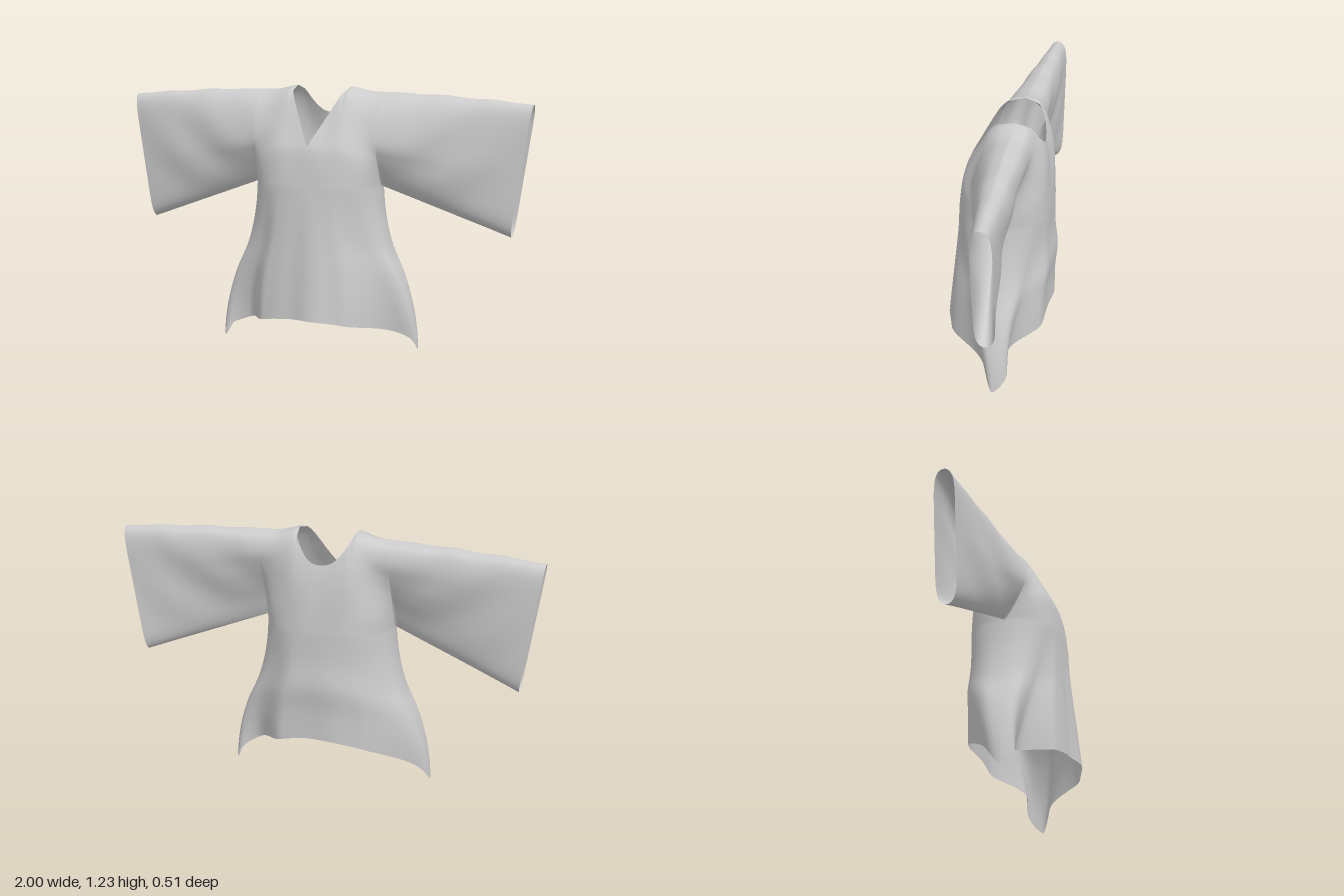
import * as THREE from 'three';
import { mergeVertices } from 'three/addons/utils/BufferGeometryUtils.js';

const { lerp, smoothstep } = THREE.MathUtils;
const ARM_X = 0.305, ARM_Y = 0.78, NECK_U = 0.45;
const spline = pts => new THREE.SplineCurve(pts.map(p => new THREE.Vector2(...p)));
const bump = (x, centre, width) => Math.exp(-(((x - centre) / width) ** 2));

// Torso profiles from chest to shoulder ridge: (height fraction, z)
const chest = spline([[0, 0.19], [0.19, 0.18], [0.36, 0.166], [0.48, 0.142], [0.63, 0.104], [0.79, 0.064], [0.91, 0.027], [0.98, -0.02], [1, -0.08]]);
const back = spline([[0, -0.238], [0.2, -0.233], [0.37, -0.227], [0.55, -0.216], [0.72, -0.197], [0.88, -0.168], [0.975, -0.135], [1, -0.08]]);
// Armhole profiles from underarm to shoulder: (height fraction, z)
const armFront = spline([[0, -0.02], [0.08, 0.005], [0.2, 0.036], [0.32, 0.062], [0.45, 0.08], [0.62, 0.07], [0.8, 0.038], [0.94, -0.015], [1, -0.08]]);
const armBack = spline([[0, -0.02], [0.1, -0.04], [0.26, -0.068], [0.43, -0.105], [0.6, -0.14], [0.78, -0.163], [0.94, -0.142], [1, -0.08]]);
// Side seam flare: (drop fraction, half width)
const flare = spline([[0, ARM_X], [0.23, 0.32], [0.46, 0.358], [0.69, 0.425], [0.88, 0.468], [1, 0.485]]);

// Point on a sleeve: m runs armhole to cuff, a runs underarm to shoulder
function sleevePoint(m, a, face) {
  const s = -Math.cos(Math.PI * a);
  const arm = (face > 0 ? armFront : armBack).getPoint(a);
  const cuffZ = -0.0975 + face * 0.0475 * Math.sqrt(Math.max(0, 1 - Math.abs(s) ** 8));
  const h = lerp(arm.x, (s + 1) / 2, m);
  const bottom = lerp(ARM_Y, 0.557, m);
  const top = 1.212 - 0.014 * m - 0.028 * m * m + 0.003 * Math.sin(m * 19) * Math.sin(Math.PI * m);
  const fold = 0.006 * Math.sin(Math.PI * m) * (1 - s * s) * Math.sin(11 * m - 4 * s + (face > 0 ? 0 : 1.5));
  return [
    ARM_X + m * (1 - ARM_X - 0.09 * (1 - h)),
    lerp(bottom, top, h),
    lerp(arm.y, cuffZ, m) + fold,
  ];
}

// Point on the upper torso, melting into the armhole as |u| nears 1
function bodicePoint(u, a, face) {
  const r = Math.abs(u);
  const k = lerp(1 - Math.sqrt(Math.max(0, 1 - r ** 3)), smoothstep(r, 0.38, 1), smoothstep(a, 0.1, 0.85));
  const p = (face > 0 ? chest : back).getPoint(a);
  const q = sleevePoint(0, a, face);
  const top = lerp(1.235, 1.212, smoothstep(r, NECK_U, 1));
  const fold = 0.005 * Math.sin(Math.PI * a) ** 2 * Math.sin(u * 9 + a * 5) * (1 - r);
  return [u * ARM_X, lerp(lerp(ARM_Y, top, p.x), q[1], k), lerp(p.y, q[2], k) + fold];
}

// How far up the torso the cloth reaches before the V (front) or round (back) neckline
function neckLimit(u, face) {
  const r = Math.abs(u) / NECK_U;
  if (r > 0.999) return 1;
  const goal = face > 0 ? lerp(0.41, 1, r) : lerp(0.7, 1, r ** 2.3);
  const curve = face > 0 ? chest : back;
  let lo = 0, hi = 1;
  for (let i = 0; i < 24; i++) {
    const mid = (lo + hi) / 2;
    if (curve.getPoint(mid).x < goal) lo = mid; else hi = mid;
  }
  return lo;
}

// Point on the lower body: v runs from the chest line to the hem
function skirtPoint(u, v, face) {
  const r = Math.abs(u), w = Math.max(0, 1 - r * r);
  const seam = lerp(-0.01, u > 0 ? -0.04 : 0.018, smoothstep(r, 0, 1));
  const tail = 0.7 * r ** 12 * w * v ** 3;
  let hem, hemZ, fold;
  if (face > 0) {
    // Full front, stepping back to a thin flap on the right and easing off on the left
    const step = u < 0 ? 0.82 * smoothstep(r, 0.44, 0.7) : 0.65 * smoothstep(r, 0.4, 0.85);
    hem = 0.165 - 0.11 * r * r - 0.053 * r ** 30;
    hemZ = lerp(seam, 0.225, Math.sqrt(w) * (1 - step));
    fold = v * w * (0.03 * bump(u, 0.15, 0.25) + 0.003 * Math.sin(u * 17)) + (u < 0 ? tail : 0);
  } else {
    // Rounded back with a crease across the waist, stepping in on the left
    const step = u > 0 ? 0.7 * smoothstep(r, 0.4, 0.78) : 0.3 * smoothstep(r, 0.4, 0.9);
    hem = 0.25 - 0.185 * r * r - 0.063 * r ** 20;
    hemZ = lerp(seam, -0.24, Math.sqrt(w) * (1 - step));
    fold = w * (0.005 * v * Math.sin(u * 10) - 0.014 * (bump(v, 0.5, 0.17) - bump(0, 0.5, 0.17) * (1 - v)))
      - (u > 0 ? tail : 0);
  }
  const chestZ = bodicePoint(u, 0, face)[2];
  return [u * flare.getPoint(v).y, lerp(ARM_Y, hem, v), lerp(chestZ, hemZ, v ** (1 + 0.5 * r)) + fold];
}

export function createModel() {
  const positions = [], indices = [], parts = [];

  // Adds a grid of cloth; flip turns its outside round
  function sheet(cols, rows, flip, point) {
    const base = positions.length / 3;
    for (let i = 0; i <= cols; i++)
      for (let j = 0; j <= rows; j++) positions.push(...point(i, j / rows));
    for (let i = 0; i < cols; i++) {
      for (let j = 0; j < rows; j++) {
        const p = base + i * (rows + 1) + j, q = p + rows + 1;
        if (flip) indices.push(p, q + 1, q, p, p + 1, q + 1);
        else indices.push(p, q, q + 1, p, q + 1, p + 1);
      }
    }
  }
  function part(name, build) {
    const start = indices.length;
    for (const face of [1, -1]) build(face);
    parts.push({ name, start, end: indices.length });
  }

  // Columns across the torso, closer together near the side seams
  const half = [];
  for (let i = 1; i <= 14; i++) half.push(NECK_U * i / 14);
  for (let i = 1; i <= 26; i++) half.push(NECK_U + (1 - NECK_U) * Math.sin(Math.PI / 2 * i / 26));
  const us = [...half.map(u => -u).reverse(), 0, ...half];

  part('bodice', face => sheet(us.length - 1, 40, face < 0,
    (i, t) => bodicePoint(us[i], t * neckLimit(us[i], face), face)));

  part('skirt', face => sheet(us.length - 1, 40, face < 0,
    (i, t) => skirtPoint(us[i], 1 - t, face)));

  for (const side of [1, -1]) {
    part(side > 0 ? 'leftSleeve' : 'rightSleeve', face => sheet(44, 40, face * side < 0, (i, t) => {
      const [x, y, z] = sleevePoint(i / 44, t, face);
      return [side * x, y, z];
    }));
  }

  // Weld everything so the shading runs smoothly across the seams, then split by part
  let cloth = new THREE.BufferGeometry();
  cloth.setAttribute('position', new THREE.Float32BufferAttribute(positions, 3));
  cloth.setIndex(indices);
  cloth = mergeVertices(cloth, 1e-4);
  cloth.computeVertexNormals();

  const material = new THREE.MeshStandardMaterial({ color: 0xcccccc, side: THREE.DoubleSide });
  const tunic = new THREE.Group();
  tunic.name = 'tunic';
  for (const { name, start, end } of parts) {
    const geometry = new THREE.BufferGeometry();
    geometry.setAttribute('position', cloth.attributes.position);
    geometry.setAttribute('normal', cloth.attributes.normal);
    geometry.setIndex(Array.from(cloth.index.array.slice(start, end)));
    const mesh = new THREE.Mesh(geometry, material);
    mesh.name = name;
    tunic.add(mesh);
  }
  return tunic;
}
